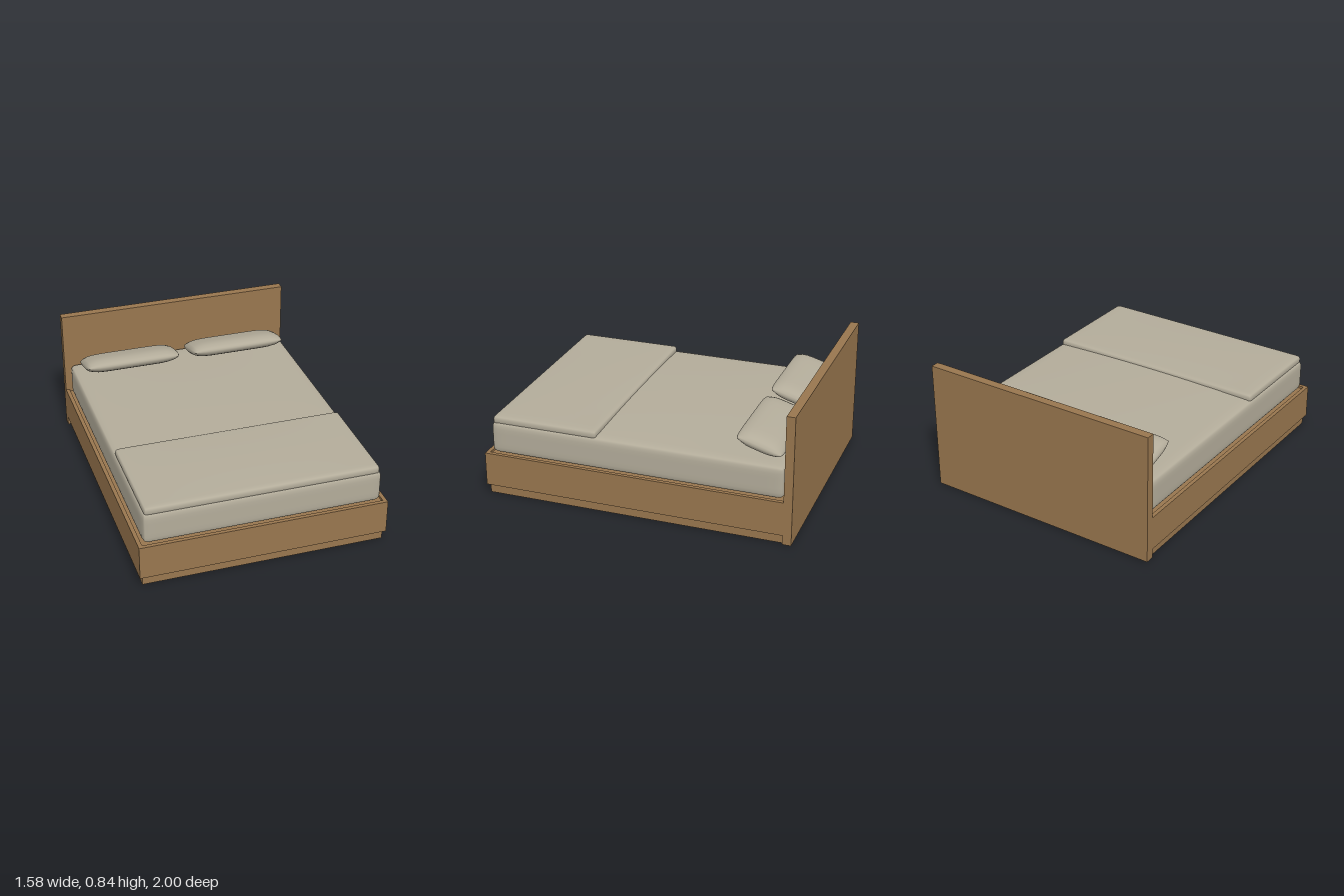
import * as THREE from 'three';
import { mergeVertices } from 'three/addons/utils/BufferGeometryUtils.js';

// Subdivided box whose vertices are moved by a rule, with smooth normals
function shapedBox(w, h, d, segs, rule) {
  let g = new THREE.BoxGeometry(2, 2, 2, ...segs);
  g.deleteAttribute('uv');
  g.deleteAttribute('normal');
  g = mergeVertices(g);
  g.clearGroups();
  const pos = g.attributes.position;
  const p = new THREE.Vector3();
  for (let i = 0; i < pos.count; i++) {
    p.fromBufferAttribute(pos, i);
    rule(p, w / 2, h / 2, d / 2);
    pos.setXYZ(i, p.x, p.y, p.z);
  }
  g.computeVertexNormals();
  return g;
}

// Padded slab: rounded edges and a gently crowned top
function paddedSlab(w, h, d, r, crown) {
  return shapedBox(w, h, d, [20, 10, 20], (p, a, b, c) => {
    const u = p.x, v = p.y, t = p.z;
    const ease = (s) => Math.sin((s * Math.PI) / 2);
    p.set(ease(u) * a, ease(v) * b, ease(t) * c);
    const core = p.clone().clamp(
      new THREE.Vector3(r - a, r - b, r - c),
      new THREE.Vector3(a - r, b - r, c - r));
    const out = p.clone().sub(core);
    if (out.length() > 1e-6) out.setLength(r);
    p.copy(core).add(out);
    if (p.y > 0) p.y += crown * (p.y / b) * (1 - (p.x / a) ** 2) * (1 - (p.z / c) ** 2);
  });
}

// Cushion: thick in the middle, thinner towards its rim
function cushion(w, h, d) {
  return shapedBox(w, h, d, [14, 4, 10], (p, a, b, c) => {
    const u = Math.sin((p.x * Math.PI) / 2), v = p.y, t = Math.sin((p.z * Math.PI) / 2);
    p.x = u * a * (1 - 0.04 * t ** 4) * (1 - 0.05 * v * v);
    p.z = t * c * (1 - 0.07 * u ** 8) * (1 - 0.07 * v * v);
    p.y = v * b * (1 - 0.6 * t ** 4) * (1 - 0.45 * u ** 8);
  });
}

export function createModel() {
  const model = new THREE.Group();
  model.name = 'bed';
  const wood = new THREE.MeshStandardMaterial({ color: 0x98764e });
  wood.name = 'wood';
  const fabric = new THREE.MeshStandardMaterial({ color: 0xb3ac9a });
  fabric.name = 'fabric';

  const add = (name, geometry, material, x, y, z) => {
    const mesh = new THREE.Mesh(geometry, material);
    mesh.name = name;
    mesh.position.set(x, y, z);
    model.add(mesh);
    return mesh;
  };
  // Wooden board given by its limits on each axis
  const board = (name, x0, x1, y0, y1, z0, z1) =>
    add(name, new THREE.BoxGeometry(x1 - x0, y1 - y0, z1 - z0), wood,
      (x0 + x1) / 2, (y0 + y1) / 2, (z0 + z1) / 2);

  // Wooden frame
  board('headboard', -0.79, 0.79, 0, 0.84, -1, -0.945);
  board('plinth', -0.772, 0.772, 0, 0.06, -0.945, 0.982);
  board('deck', -0.765, 0.765, 0.06, 0.265, -0.945, 0.975);
  board('footRail', -0.79, 0.79, 0.06, 0.28, 0.975, 1);
  board('leftRail', 0.765, 0.79, 0.06, 0.28, -0.945, 0.975);
  board('rightRail', -0.79, -0.765, 0.06, 0.28, -0.945, 0.975);

  // Bedding
  add('mattress', paddedSlab(1.51, 0.21, 1.9, 0.035, 0.018), fabric, 0, 0.38, 0.018);
  add('foldedBlanket', paddedSlab(1.485, 0.055, 0.695, 0.022, 0.008), fabric, 0, 0.494, 0.612);

  // Pillows, tilted up towards the foot of the bed
  for (const [name, x] of [['leftPillow', 0.365], ['rightPillow', -0.375]]) {
    const pillow = add(name, cushion(0.65, 0.1, 0.305), fabric, x, 0.56, -0.752);
    pillow.rotation.x = -0.29;
  }
  return model;
}
